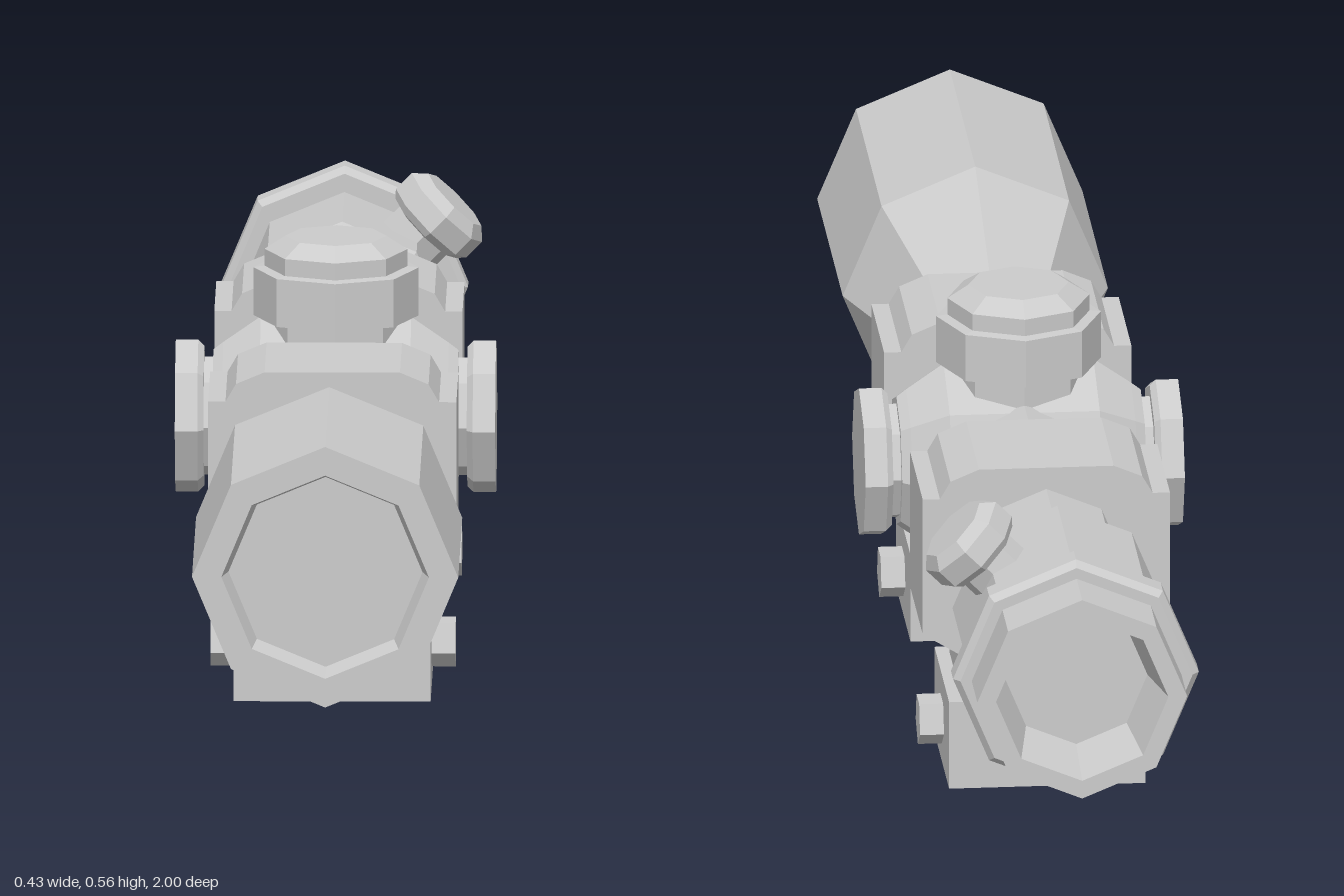
import * as THREE from 'three';

const AXIS = 0.31;       // height of the optical axis
const TURRET_Z = -0.038; // centre of the adjustment turrets
const mat = new THREE.MeshStandardMaterial({ color: 0xcccccc, flatShading: true });

function add(parent, name, geometry, x = 0, y = 0, z = 0) {
  const mesh = new THREE.Mesh(geometry, mat);
  mesh.name = name;
  mesh.position.set(x, y, z);
  parent.add(mesh);
  return mesh;
}

// Octagonal turned part from [radius, height] pairs, bottom to top
function turned(points) {
  return new THREE.LatheGeometry(points.map(([r, h]) => new THREE.Vector2(r, h)), 8);
}

const alongZ = (points) => turned(points).rotateX(Math.PI / 2);
const alongX = (points) => turned(points).rotateZ(-Math.PI / 2);

// Clamp ring, foot and cross bolts
function createMount(z) {
  const mount = new THREE.Group();
  mount.name = 'mount';
  mount.position.z = z;

  const half = [[0.113, 0.182], [0.165, 0.214], [0.165, 0.404], [0.142, 0.404], [0.128, 0.428], [0.09, 0.444]];
  const outline = [...half, ...half.map(([x, y]) => [-x, y]).reverse()];
  const shape = new THREE.Shape(outline.map(([x, y]) => new THREE.Vector2(x, y)));
  const ring = new THREE.ExtrudeGeometry(shape, { depth: 0.192, bevelEnabled: false });
  add(mount, 'clampRing', ring.translate(0, 0, -0.096));
  add(mount, 'mountNeck', new THREE.BoxGeometry(0.226, 0.08, 0.18), 0, 0.155, 0);
  add(mount, 'mountFoot', new THREE.BoxGeometry(0.262, 0.122, 0.22), 0, 0.061, 0);

  // five-sided bolt, one corner pointing down
  const bolt = new THREE.CylinderGeometry(0.035, 0.035, 0.326, 5);
  bolt.rotateY(Math.PI).rotateX(Math.PI / 2).rotateY(Math.PI / 2);
  bolt.computeBoundingBox();
  const { min, max } = bolt.boundingBox;
  if (max.y > -min.y) bolt.rotateX(Math.PI);
  add(mount, 'crossBolt', bolt, 0, 0.06, 0);
  return mount;
}

export function createModel() {
  const model = new THREE.Group();
  model.name = 'riflescope';

  // Front bell with recessed lens
  add(model, 'objectiveBell', alongZ([
    [0.104, 0.39], [0.104, 0.4], [0.177, 0.615], [0.177, 1],
    [0.138, 1], [0.129, 0.965], [0, 0.965],
  ]), 0, AXIS, 0);

  add(model, 'mainTube', alongZ([[0.104, -0.63], [0.104, 0.4]]), 0, AXIS, 0);

  // Eyepiece with hollow rear, grip flange and body
  add(model, 'eyepiece', alongZ([
    [0, -0.91], [0.095, -0.91], [0.115, -1], [0.14, -1], [0.14, -0.915],
    [0.155, -0.915], [0.164, -0.905], [0.164, -0.872], [0.155, -0.862],
    [0.13, -0.862], [0.13, -0.825], [0.14, -0.815], [0.14, -0.625],
    [0.13, -0.61], [0.104, -0.61],
  ]), 0, AXIS, 0);

  // Turret housing across the tube
  add(model, 'turretHousing', alongX([
    [0, -0.163], [0.09, -0.163], [0.1, -0.15], [0.135, -0.1],
    [0.135, 0.1], [0.1, 0.15], [0.09, 0.163], [0, 0.163],
  ]), 0, AXIS, TURRET_Z);

  // Top turret
  add(model, 'topTurret', turned([
    [0.09, 0.38], [0.09, 0.447], [0.11, 0.447], [0.11, 0.512],
    [0.095, 0.514], [0.095, 0.537], [0.067, 0.555], [0, 0.555],
  ]), 0, 0, TURRET_Z);

  // Side turrets
  for (const side of [1, -1]) {
    const knob = add(model, side > 0 ? 'leftTurret' : 'rightTurret', alongX([
      [0.08, 0.15], [0.08, 0.175], [0.095, 0.175],
      [0.103, 0.183], [0.103, 0.213], [0, 0.213],
    ]), 0, AXIS, TURRET_Z);
    if (side < 0) knob.rotation.y = Math.PI;
  }

  // Small knob leaning out of the eyepiece
  const dial = add(model, 'eyepieceKnob', turned([
    [0.045, 0.09], [0.045, 0.152], [0.057, 0.155], [0.066, 0.165],
    [0.066, 0.195], [0.05, 0.21], [0, 0.21],
  ]), 0, AXIS, -0.728);
  dial.rotation.z = -Math.PI / 4;

  for (const z of [0.221, -0.362]) model.add(createMount(z));
  return model;
}
